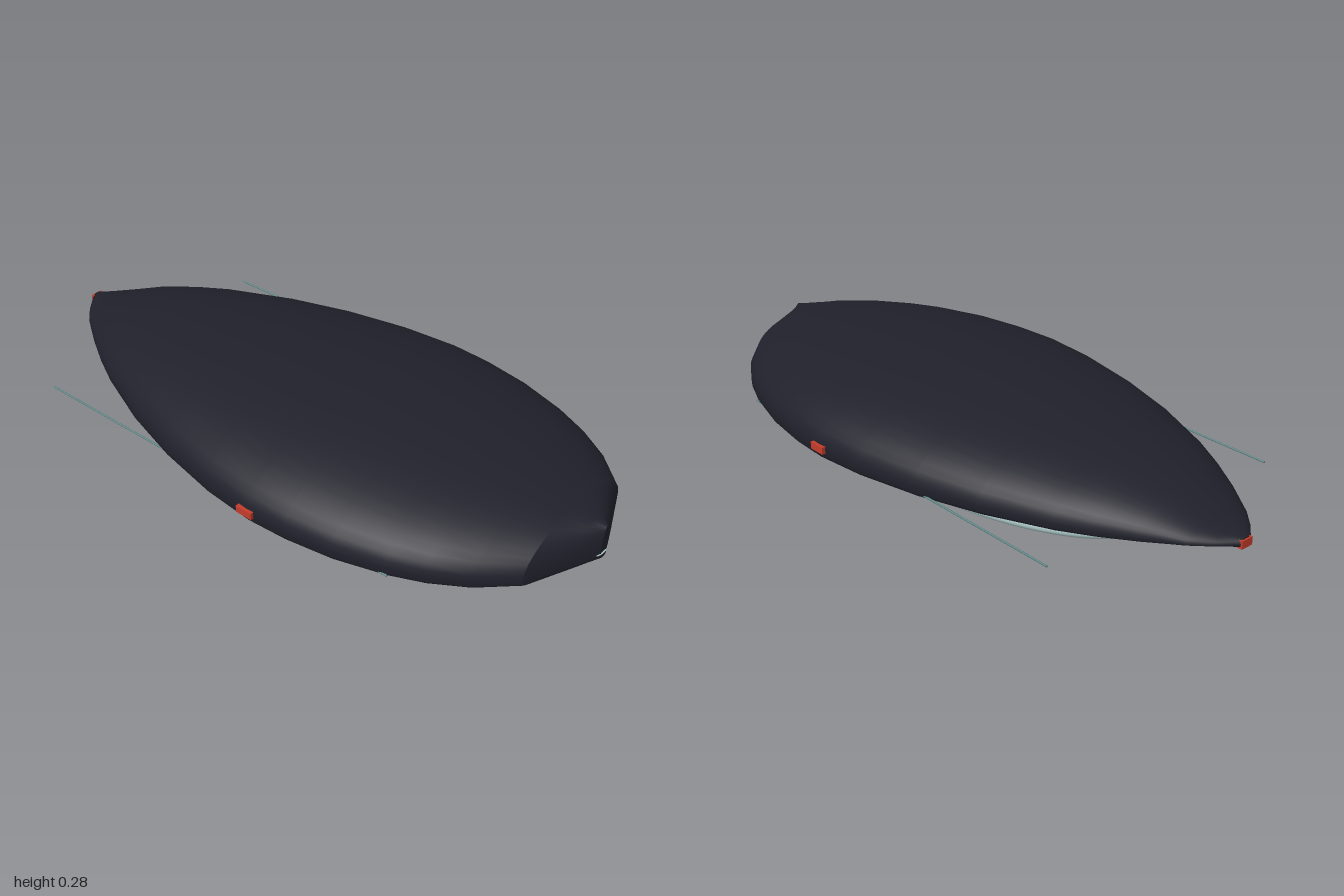
import * as THREE from 'three';

const mat = (name, color, side = THREE.FrontSide) => {
  const m = new THREE.MeshStandardMaterial({ color, side });
  m.name = name;
  return m;
};

// Hull stations: x, half width, bottom y, top y (widest at WAIST)
const WAIST = 0.1;
const STATIONS = [
  [-0.995, 0.02, 0.093, 0.117], [-0.95, 0.075, 0.095, 0.123], [-0.9, 0.122, 0.092, 0.137],
  [-0.8, 0.19, 0.08, 0.178], [-0.7, 0.25, 0.069, 0.203], [-0.6, 0.302, 0.06, 0.222],
  [-0.4, 0.385, 0.049, 0.246], [-0.2, 0.445, 0.04, 0.262], [0, 0.485, 0.034, 0.272],
  [0.17, 0.5, 0.03, 0.275], [0.3, 0.494, 0.031, 0.273], [0.45, 0.472, 0.034, 0.266],
  [0.6, 0.43, 0.04, 0.253], [0.7, 0.388, 0.045, 0.241], [0.8, 0.328, 0.052, 0.226],
  [0.9, 0.237, 0.062, 0.207],
];
const NOSE = [STATIONS.at(-1), [0.96, 0.102, 0.072, 0.194], [0.997, 0.015, 0.08, 0.186]];

// Skin through stations: domed ellipse above the waist, squarish belly below
function loft(stations, capStart, capEnd, n = 48) {
  const pos = [], index = [];
  for (const [x, w, bottom, top] of stations) {
    for (let j = 0; j < n; j++) {
      const t = (j / n) * Math.PI * 2, c = Math.cos(t), s = Math.sin(t);
      const p = s >= 0 ? 1 : 0.5;
      const z = Math.sign(c) * Math.abs(c) ** p * w;
      const y = s >= 0 ? WAIST + s * (top - WAIST) : WAIST - Math.abs(s) ** p * (WAIST - bottom);
      pos.push(x, y, z);
    }
  }
  for (let i = 0; i < stations.length - 1; i++) {
    for (let j = 0; j < n; j++) {
      const k = (j + 1) % n, a = i * n, b = a + n;
      index.push(a + j, b + j, a + k, b + j, b + k, a + k);
    }
  }
  // end caps as fans with their own vertices
  const cap = (row, flip) => {
    const start = pos.length / 3;
    pos.push(...pos.slice(row * n * 3, (row + 1) * n * 3));
    for (let j = 1; j < n - 1; j++) {
      const [b, c] = flip ? [j + 1, j] : [j, j + 1];
      index.push(start, start + b, start + c);
    }
  };
  if (capStart) cap(0, false);
  if (capEnd) cap(stations.length - 1, true);
  const g = new THREE.BufferGeometry();
  g.setAttribute('position', new THREE.Float32BufferAttribute(pos, 3));
  g.setIndex(index);
  g.computeVertexNormals();
  return g;
}

export function createModel() {
  const group = new THREE.Group();
  const dark = mat('dark hull', 0x20202b, THREE.DoubleSide);
  const pale = mat('pale aqua', 0xb4d0d0);
  const teal = mat('teal rod', 0x5f8585);
  const red = mat('red lamp', 0xc43c2a);

  const add = (name, geometry, material, x = 0, y = 0, z = 0) => {
    const mesh = new THREE.Mesh(geometry, material);
    mesh.name = name;
    mesh.position.set(x, y, z);
    group.add(mesh);
    return mesh;
  };

  // Main body and the creased nose wedge
  add('hull', loft(STATIONS, true, false), dark);
  add('nose', loft(NOSE, false, true), dark);

  // Oval landing ring under the belly
  const oval = [];
  for (let i = 0; i < 64; i++) {
    const a = (i / 64) * Math.PI * 2;
    oval.push(new THREE.Vector3(0.72 * Math.cos(a), 0, 0.336 * Math.sin(a)));
  }
  const ring = new THREE.TubeGeometry(new THREE.CatmullRomCurve3(oval, true), 128, 0.02, 14, true);
  add('landingRing', ring, pale, 0.04, 0.02, 0);

  // Side lamps and slim rods, mirrored
  for (const s of [1, -1]) {
    add('sideLamp', new THREE.BoxGeometry(0.056, 0.022, 0.024), red, 0.167, 0.098, s * 0.496);
    const rod = add('sideRod', new THREE.CylinderGeometry(0.003, 0.003, 1.325, 8), teal, -0.055, 0.076, s * 0.43);
    rod.rotation.z = Math.PI / 2;
  }

  // Lamps at the two ends
  add('tailLamp', new THREE.BoxGeometry(0.018, 0.024, 0.04), red, -0.991, 0.101, 0);
  const noseLamp = add('noseLamp', new THREE.SphereGeometry(1, 20, 12), pale, 0.99, 0.096, 0);
  noseLamp.scale.set(0.01, 0.006, 0.028);

  return group;
}
